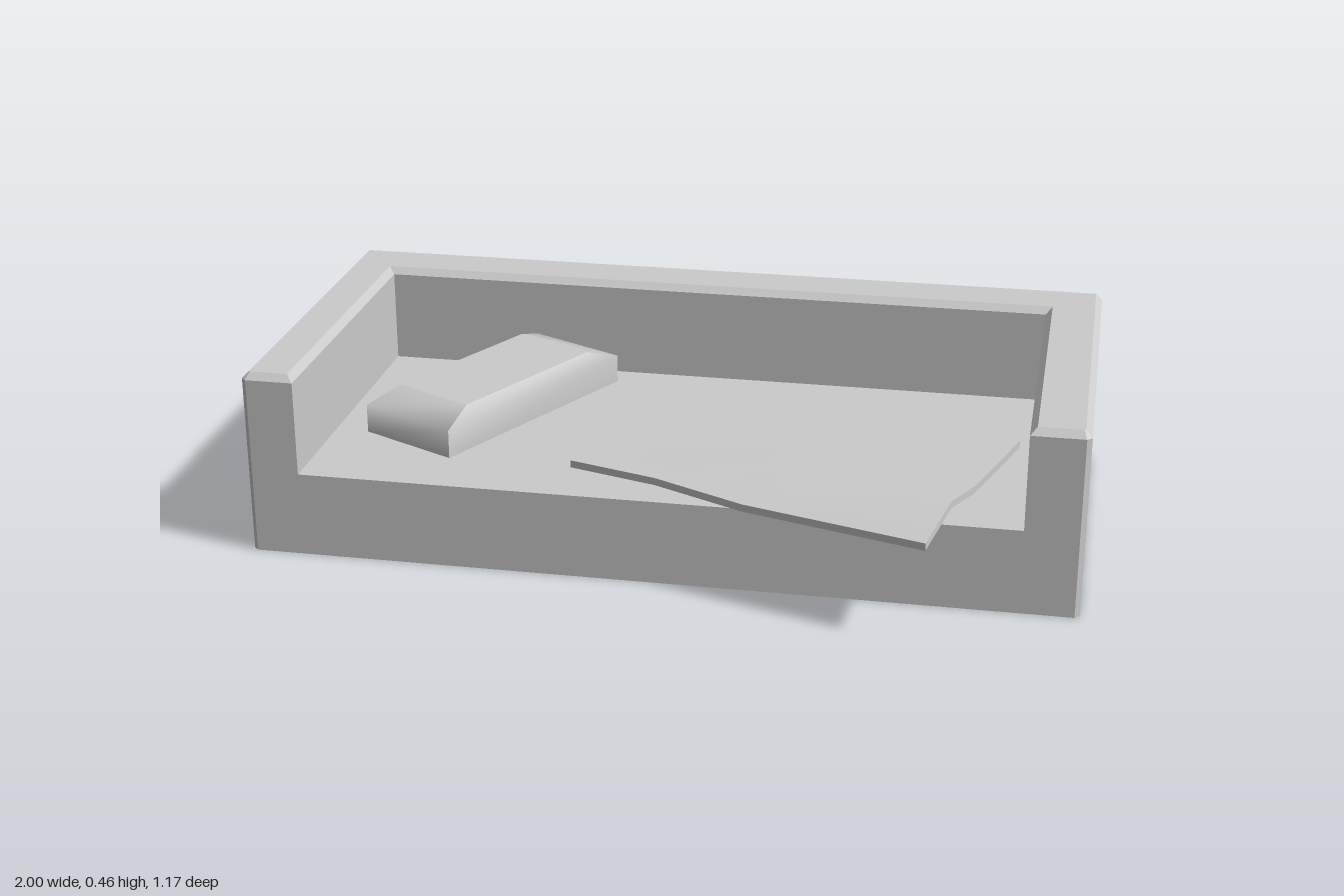
import * as THREE from 'three';

const FRONT = 0.383, BACK = -0.587, SEAT = 0.21, RIM = 0.445, TOP = 0.462;
const INNER_L = -0.872, INNER_R = 0.861, INNER_BACK = -0.433;

const grey = () => new THREE.MeshStandardMaterial({ color: 0xcccccc, side: THREE.DoubleSide });

function add(group, name, geometry) {
  const mesh = new THREE.Mesh(geometry, grey());
  mesh.name = name;
  group.add(mesh);
  return mesh;
}

// Plan of the outer body with small corner chamfers; withRecess cuts the seat opening.
function outline(inset, c, withRecess) {
  const w = 1 - inset, f = FRONT - inset, b = BACK + inset;
  const l = INNER_L - inset, r = INNER_R + inset, ib = INNER_BACK - inset;
  const recess = withRecess ? [[l, f], [l, ib], [r, ib], [r, f]] : [];
  return [[-w + c, f], ...recess, [w - c, f], [w, f - c], [w, b + c],
    [w - c, b], [-w + c, b], [-w, b + c], [-w, f - c]];
}

// Flat-sided strip joining two closed outlines at two heights.
function loft(lower, y0, upper, y1) {
  const pos = [];
  lower.forEach((p, i) => {
    const j = (i + 1) % lower.length;
    const a = [lower[i][0], y0, lower[i][1]], b = [lower[j][0], y0, lower[j][1]];
    const c = [upper[j][0], y1, upper[j][1]], d = [upper[i][0], y1, upper[i][1]];
    pos.push(...a, ...b, ...c, ...a, ...c, ...d);
  });
  const g = new THREE.BufferGeometry();
  g.setAttribute('position', new THREE.Float32BufferAttribute(pos, 3));
  g.computeVertexNormals();
  return g;
}

// Moves every vertex by a rule and refreshes the normals.
function reshape(geometry, rule) {
  const p = geometry.attributes.position, v = new THREE.Vector3();
  for (let i = 0; i < p.count; i++) {
    rule(v.fromBufferAttribute(p, i));
    p.setXYZ(i, v.x, v.y, v.z);
  }
  geometry.computeVertexNormals();
  return geometry;
}

export function createModel() {
  const model = new THREE.Group();
  model.name = 'daybed';

  // Hollow frame, open underneath
  const frame = new THREE.Group();
  frame.name = 'frame';
  model.add(frame);
  const base = outline(0, 0.012, false);
  const walls = outline(0, 0.012, true);
  const rim = outline(0.016, 0.003, true);
  add(frame, 'base', loft(base, 0, base, SEAT));
  add(frame, 'armsAndBackrest', loft(walls, SEAT, walls, RIM));
  add(frame, 'rimBevel', loft(walls, RIM, rim, TOP));
  const cap = new THREE.Shape(rim.map(([x, z]) => new THREE.Vector2(x, -z)));
  add(frame, 'rimTop', new THREE.ShapeGeometry(cap).rotateX(-Math.PI / 2).translate(0, TOP, 0));

  // Seat panel between the arms
  const seat = new THREE.PlaneGeometry(INNER_R - INNER_L, FRONT - INNER_BACK).rotateX(-Math.PI / 2);
  add(frame, 'seat', seat)
    .position.set((INNER_L + INNER_R) / 2, SEAT, (FRONT + INNER_BACK) / 2);

  // Pillow: a block whose top is drawn in on all four sides
  const pillow = add(model, 'pillow', reshape(new THREE.BoxGeometry(0.27, 2, 0.636, 1, 2, 1), (v) => {
    if (v.y > 0.5) {
      v.x *= 0.11 / 0.135;
      v.z *= 0.225 / 0.318;
    }
    v.y = v.y < -0.5 ? 0.267 : v.y < 0.5 ? 0.337 : 0.368;
  }));
  pillow.position.set(-0.479, 0, 0.002);
  pillow.rotation.y = -0.471;

  // Blanket: thin sheet with a fold near the front that fades out to one side
  const W = 0.905, D = 0.604;
  const blanket = add(model, 'blanket', reshape(new THREE.BoxGeometry(W, 0.018, D, 4, 1, 4), (v) => {
    const s = v.x / W + 0.5, t = v.z / D + 0.5;
    const fade = THREE.MathUtils.clamp((s - 0.25) * 4, 0, 1);
    if (t > 0.9) v.y -= 0.02 * fade;
    else if (t > 0.6) v.y += 0.022 * fade;
  }));
  blanket.position.set(0.3075, 0.263, 0.16);
  blanket.rotation.y = -0.294;

  return model;
}
